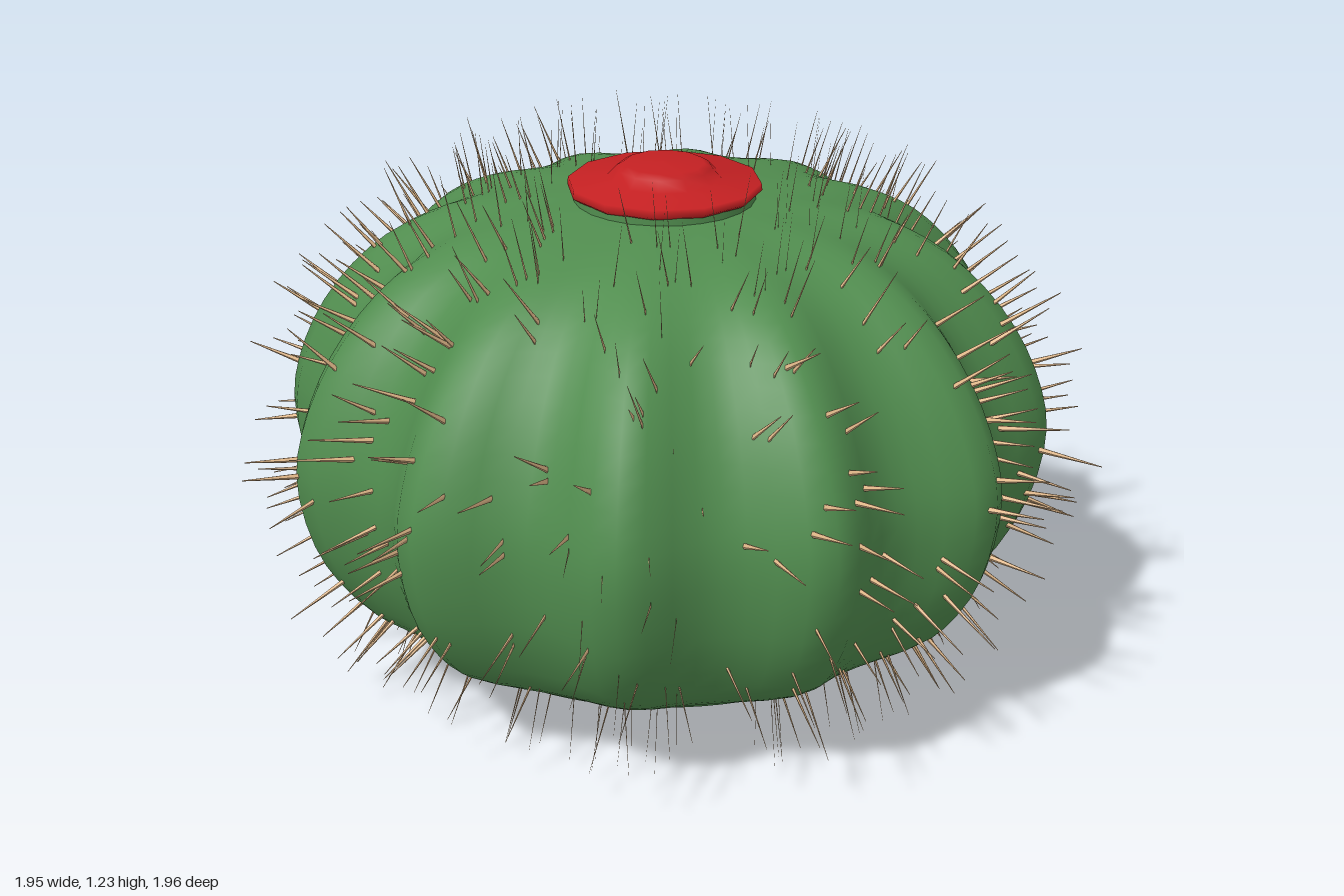
import * as THREE from 'three';
import { mergeGeometries } from 'three/addons/utils/BufferGeometryUtils.js';

const RIBS = 12, SEG = 96, ROWS = 32;

// Outline of a rib crest from the open base rim to the crown: radius, height
const profile = new THREE.SplineCurve([
  [0.565, 0.14], [0.66, 0.188], [0.74, 0.255], [0.822, 0.39], [0.858, 0.56], [0.832, 0.7],
  [0.76, 0.84], [0.65, 0.96], [0.53, 1.032], [0.4, 1.07], [0.21, 1.092], [0.02, 1.098],
].map(([r, y]) => new THREE.Vector2(r, y)));

// Point on the ribbed skin; angle 0 faces the front
function skin(angle, t) {
  const p = profile.getPoint(t);
  const groove = 1 - Math.pow(0.5 + 0.5 * Math.cos(angle * RIBS), 1.35);
  const fade = Math.pow(Math.max(0, Math.sin(Math.PI * t)), 0.8);
  const r = p.x * (1 - 0.118 * fade * groove);
  return new THREE.Vector3(r * Math.sin(angle), p.y, r * Math.cos(angle));
}

function bodyGeometry() {
  const pos = [], index = [];
  for (let j = 0; j <= ROWS; j++) {
    for (let i = 0; i < SEG; i++) pos.push(...skin(i / SEG * Math.PI * 2, j / ROWS).toArray());
  }
  for (let j = 0; j < ROWS; j++) {
    for (let i = 0; i < SEG; i++) {
      const a = j * SEG + i, b = j * SEG + (i + 1) % SEG;
      index.push(a, b, b + SEG, a, b + SEG, a + SEG);
    }
  }
  const g = new THREE.BufferGeometry();
  g.setAttribute('position', new THREE.Float32BufferAttribute(pos, 3));
  g.setIndex(index);
  g.computeVertexNormals();
  return g;
}

// Small repeatable number source, -1 to 1
function makeRandom(seed) {
  return () => {
    seed = (seed * 16807) % 2147483647;
    return seed / 2147483647 * 2 - 1;
  };
}

// Slender spines whose roots all lie flat across x, so they thin out edge-on.
// They pierce the skin, showing a short stub inside the hollow body.
function spineGeometry() {
  const random = makeRandom(4711), spines = [];
  const addSpine = (root, normal, length) => {
    const dir = normal.clone().add(new THREE.Vector3(random(), random(), random()).multiplyScalar(0.2));
    dir.normalize();
    root.addScaledVector(dir, -0.045);
    dir.multiplyScalar(length);
    dir.y = Math.max(dir.y, -root.y);
    const cone = new THREE.CylinderGeometry(0.001, 0.009, 1, 5, 1, true).translate(0, 0.5, 0);
    const m = new THREE.Matrix4().makeBasis(
      new THREE.Vector3(0, dir.x > 0 ? -1 : 1, 0), dir, new THREE.Vector3(0, 0, 1));
    cone.applyMatrix4(m.setPosition(root));
    cone.computeVertexNormals();
    spines.push(cone);
  };
  // Clusters up each rib
  for (let rib = 0; rib < RIBS; rib++) {
    for (let row = 0; row < 12; row++) {
      for (let k = 0; k < 4; k++) {
        const a = rib / RIBS * Math.PI * 2 + random() * 0.24;
        const t = 0.03 + row * 0.074 + random() * 0.03;
        const tangent = profile.getTangent(t);
        const normal = new THREE.Vector3(tangent.y * Math.sin(a), -tangent.x, tangent.y * Math.cos(a));
        addSpine(skin(a, t), normal, 0.175 + random() * 0.025);
      }
    }
  }
  return mergeGeometries(spines);
}

export function createModel() {
  const group = new THREE.Group();
  const material = (name, color, side = THREE.FrontSide) => {
    const m = new THREE.MeshStandardMaterial({ color, side });
    m.name = name;
    return m;
  };
  const green = material('cactusGreen', 0x518d4f, THREE.DoubleSide);
  const red = material('flowerRed', 0xc42022);
  const tan = material('spineTan', 0xe2b98a, THREE.DoubleSide);
  const add = (name, geometry, mat) => {
    const mesh = new THREE.Mesh(geometry, mat);
    mesh.name = name;
    group.add(mesh);
  };

  add('ribbedBody', bodyGeometry(), green);
  add('crownNeck', new THREE.CylinderGeometry(0.2, 0.2, 0.03, 24, 1, true).translate(0, 1.095, 0), green);
  // Flower: wide rimmed disc rising softly into a raised button
  const flower = [[0, 1.107], [0.205, 1.107], [0.214, 1.114], [0.212, 1.13], [0.125, 1.138],
    [0.105, 1.16], [0.088, 1.17], [0, 1.173]];
  add('flower', new THREE.LatheGeometry(flower.map(([r, y]) => new THREE.Vector2(r, y)), 12), red);
  add('spines', spineGeometry(), tan);
  return group;
}
